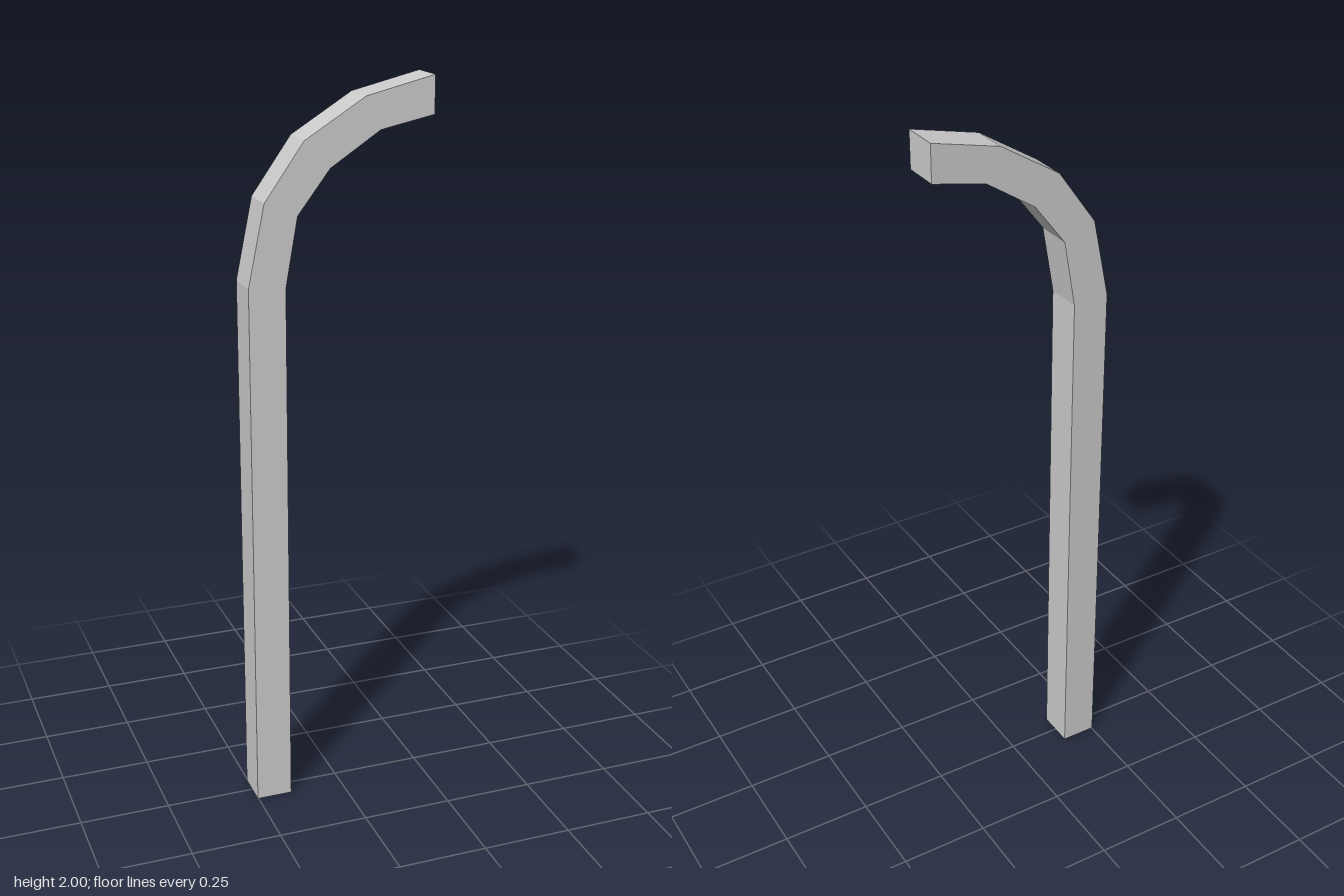
import * as THREE from 'three';

export function createModel() {
  const group = new THREE.Group();
  group.name = 'bentPost';
  const depth = 0.105;

  // Outer and inner edges of the bar, from the foot to the tip
  const outer = [[-0.252, 0], [-0.252, 1.487], [-0.207, 1.703], [-0.1, 1.853], [0.065, 1.955], [0.252, 2]];
  const inner = [[-0.152, 0], [-0.152, 1.48], [-0.119, 1.665], [-0.031, 1.78], [0.105, 1.869], [0.252, 1.9]];

  // Square bar: straight upright with a faceted bend at the top
  const outline = [...outer, ...inner.reverse()].map(([x, y]) => new THREE.Vector2(x, y));
  const geometry = new THREE.ExtrudeGeometry(new THREE.Shape(outline), { depth, bevelEnabled: false });
  geometry.translate(0, 0, -depth / 2);

  const material = new THREE.MeshStandardMaterial({ color: 0xcccccc, flatShading: true });
  const post = new THREE.Mesh(geometry, material);
  post.name = 'curvedPost';
  group.add(post);
  return group;
}
